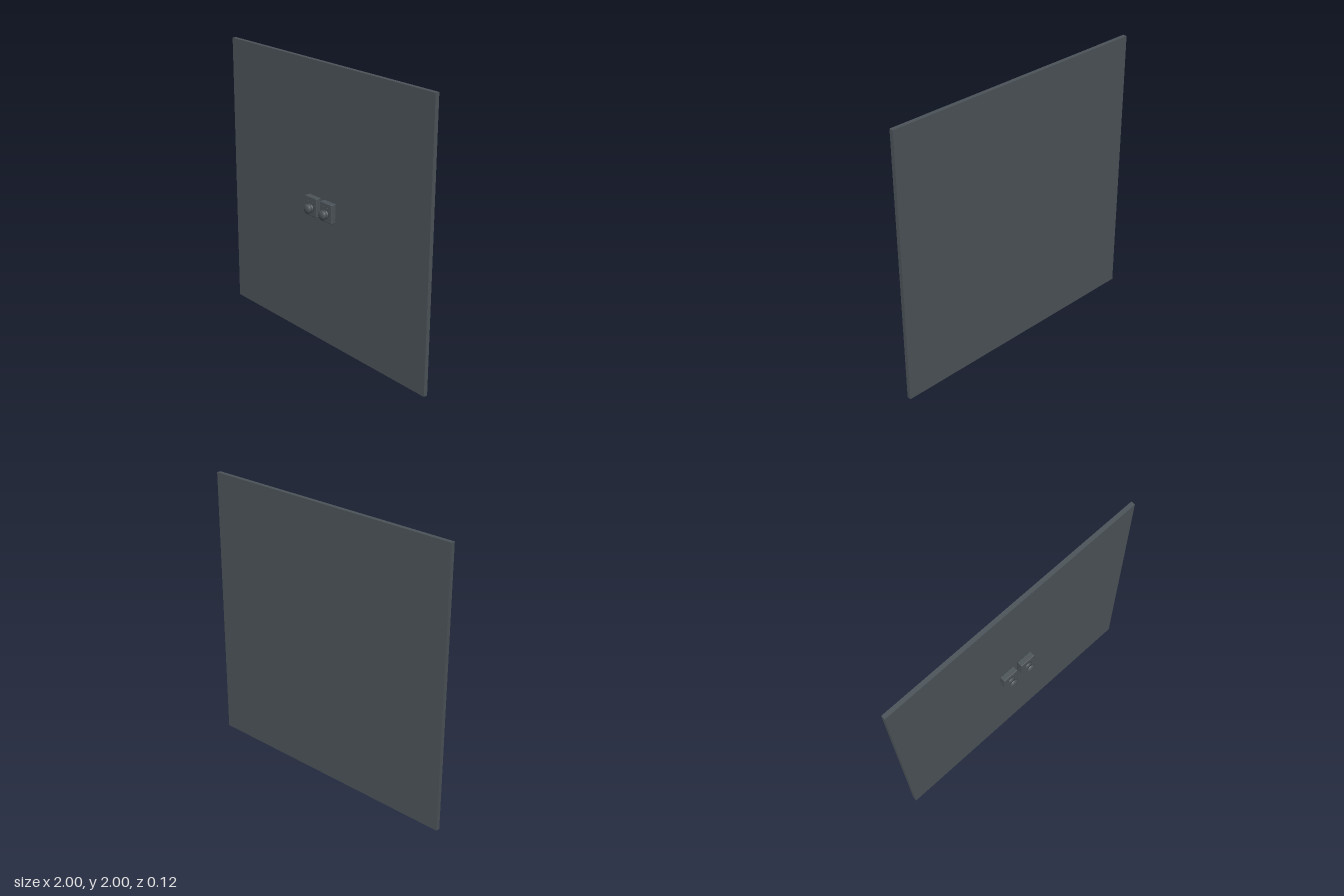
import * as THREE from 'three';
import { RoundedBoxGeometry } from 'three/addons/geometries/RoundedBoxGeometry.js';

export function createModel() {
  const model = new THREE.Group();
  const slate = new THREE.MeshStandardMaterial({ color: 0x4c5459 });
  slate.name = 'slate grey';

  const add = (parent, name, geometry, x, y, z) => {
    const mesh = new THREE.Mesh(geometry, slate);
    mesh.name = name;
    mesh.position.set(x, y, z);
    parent.add(mesh);
    return mesh;
  };

  // Large thin wall panel
  add(model, 'wallPanel', new THREE.BoxGeometry(2, 2, 0.03), 0, 1, -0.045);

  // Mushroom knob: collar, narrow neck and domed cap
  const profile = [
    [0, 0], [0.031, 0], [0.031, 0.004], [0.025, 0.009], [0.015, 0.011],
    [0.015, 0.018], [0.026, 0.02], [0.034, 0.024], [0.035, 0.028],
    [0.031, 0.034], [0.021, 0.039], [0.01, 0.0415], [0, 0.042],
  ].map(([r, h]) => new THREE.Vector2(r, h));
  const knobGeometry = new THREE.LatheGeometry(profile, 32).rotateX(Math.PI / 2);
  const housingGeometry = new RoundedBoxGeometry(0.118, 0.137, 0.043, 3, 0.005);
  const pinGeometry = new THREE.CylinderGeometry(0.004, 0.004, 0.008, 12).rotateX(Math.PI / 2);

  // Two matching switch boxes, side by side
  for (const side of [-1, 1]) {
    const box = new THREE.Group();
    box.name = side < 0 ? 'rightSwitch' : 'leftSwitch';
    box.position.set(side * 0.078, 1.002, 0);
    add(box, 'housing', housingGeometry, 0, 0, -0.0035);
    add(box, 'knob', knobGeometry, 0, -0.011, 0.018);
    for (const x of [-0.022, 0.022]) add(box, 'indicatorPin', pinGeometry, x, 0.037, 0.02);
    model.add(box);
  }
  return model;
}
